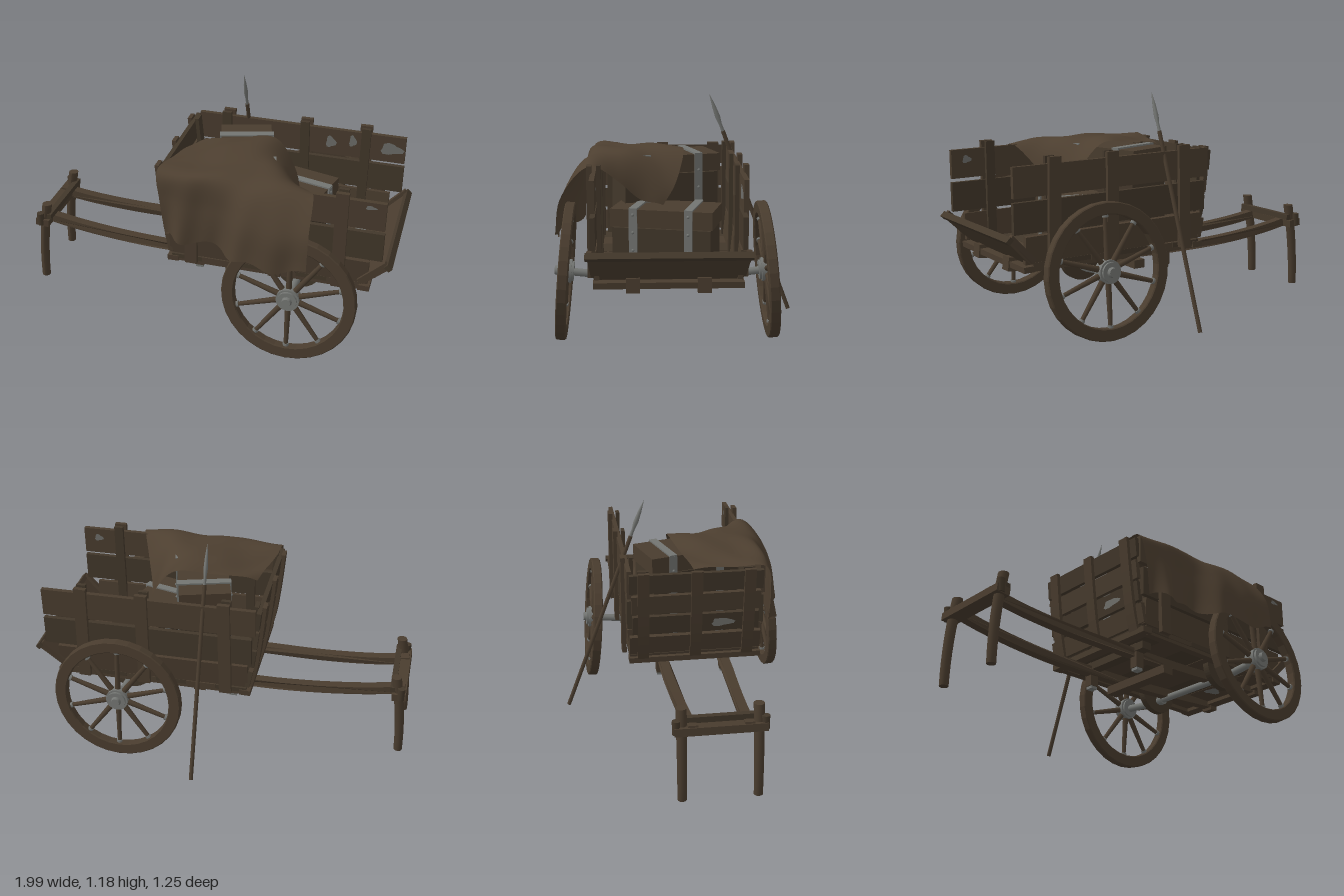
import * as THREE from 'three';

export function createModel() {
  const mat = (name, color) => Object.assign(new THREE.MeshStandardMaterial({ color }), { name });
  const wood = mat('wood', 0x493c2e), oldWood = mat('agedWood', 0x42372a), cloth = mat('cloth', 0x4d3f30);
  const metal = mat('metal', 0x737572), worn = mat('wornWood', 0x6d6d69);
  cloth.side = worn.side = THREE.DoubleSide;

  const root = new THREE.Group();
  const cart = new THREE.Group();
  cart.name = 'cart';
  cart.position.z = 0.065;
  root.add(cart);

  let seed = 7;
  const jitter = (a) => { seed = (seed * 16807) % 2147483647; return (seed / 2147483647 - 0.5) * a; };
  const add = (parent, name, geo, m, pos = [0, 0, 0], rot = [0, 0, 0]) => {
    const mesh = new THREE.Mesh(geo, m);
    mesh.name = name;
    mesh.position.set(...pos);
    mesh.rotation.set(...rot);
    parent.add(mesh);
    return mesh;
  };
  const box = (parent, name, m, size, pos, rot) => add(parent, name, new THREE.BoxGeometry(...size), m, pos, rot);
  // Round bar between two points
  const bar = (parent, name, m, a, b, r1, r2 = r1, sides = 12) => {
    const p = new THREE.Vector3(...a), q = new THREE.Vector3(...b), d = q.clone().sub(p);
    const mesh = add(parent, name, new THREE.CylinderGeometry(r2, r1, d.length(), sides), m);
    mesh.position.copy(p).add(q).multiplyScalar(0.5);
    mesh.quaternion.setFromUnitVectors(new THREE.Vector3(0, 1, 0), d.normalize());
    return mesh;
  };
  // Curved timber drawn in the xy plane, centred on z = 0
  const timber = (pts, t, depth, n = 10) => {
    const c = new THREE.SplineCurve(pts.map((p) => new THREE.Vector2(...p)));
    const a = [], b = [];
    for (let i = 0; i <= n; i++) {
      const p = c.getPoint(i / n), d = c.getTangent(i / n);
      a.push(new THREE.Vector2(p.x - d.y * t / 2, p.y + d.x * t / 2));
      b.unshift(new THREE.Vector2(p.x + d.y * t / 2, p.y - d.x * t / 2));
    }
    return new THREE.ExtrudeGeometry(new THREE.Shape([...a, ...b]), { depth, bevelEnabled: false }).translate(0, 0, -depth / 2);
  };

  // Floor boards and the sills below them
  for (let i = 0; i < 6; i++)
    box(cart, 'floorBoard', i % 2 ? wood : oldWood, [i === 4 ? 0.159 : 0.165, 0.025, 0.7], [-0.07 + i * 0.165, 0.392 + jitter(0.006), 0], [0, jitter(0.01), 0]);
  for (const x of [-0.145, 0.86]) box(cart, 'floorSill', wood, [0.06, 0.03, 0.71], [x, 0.375, 0], [0, 0, jitter(0.1)]);
  for (const s of [-1, 1]) box(cart, 'sideSill', wood, [0.98, 0.03, 0.04], [0.36, 0.375, s * 0.325]);

  // Side walls: three planks held between inner and outer posts
  for (const s of [-1, 1]) {
    [[0.475, 0.14, -0.16, 0.88, 0.343], [0.637, 0.155, -0.18, 0.945, 0.352], [0.812, 0.152, -0.2, 0.945, 0.353]].forEach(([y, h, x0, x1, z], i) =>
      box(cart, 'sidePlank', i === 1 ? oldWood : wood, [x1 - x0, h, 0.024], [(x0 + x1) / 2, y, s * z], [i ? 0 : s * 0.1, 0, -0.01 + jitter(0.01)]));
    for (const x of [-0.04, 0.4, 0.73]) {
      const top = s > 0 && x < 0.6 ? 0.87 : 0.92;
      box(cart, 'outerPost', wood, [0.065, top - 0.38, 0.024], [x, (top + 0.38) / 2, s * 0.372], [0, 0, jitter(0.04)]);
      box(cart, 'innerPost', oldWood, [0.05, top - 0.41, 0.02], [x, (top + 0.41) / 2, s * 0.328], [0, 0, jitter(0.03)]);
    }
  }

  // Bowed end wall with curved staves
  const endX = (y) => -0.14 - 0.075 * Math.pow((y - 0.38) / 0.5, 0.6);
  for (let i = 0; i < 4; i++) {
    const y = 0.465 + i * 0.12, lean = Math.atan((endX(y - 0.05) - endX(y + 0.05)) / 0.1);
    box(cart, 'endPlank', i % 2 ? oldWood : wood, [0.024, 0.104, 0.69 + jitter(0.04)], [endX(y), y, 0], [jitter(0.02), 0, lean]);
  }
  const stave = timber([0.385, 0.5, 0.65, 0.78, 0.89].map((y) => [endX(y) - 0.02, y]), 0.022, 0.06);
  for (const z of [-0.28, 0, 0.28]) {
    add(cart, 'endStave', stave, wood, [0, 0, z]);
    if (z) add(cart, 'innerEndStave', stave, oldWood, [0.041, 0, z]);
  }

  // Lowered tailboard with edge battens
  const tail = new THREE.Group();
  tail.name = 'tailboard';
  tail.position.set(0.915, 0.472, 0);
  tail.rotation.z = 0.79;
  cart.add(tail);
  const tg = new THREE.BoxGeometry(0.19, 0.022, 0.73);
  const tp = tg.attributes.position;
  for (let i = 0; i < tp.count; i++) tp.setZ(i, tp.getZ(i) * (tp.getX(i) > 0 ? 1.04 : 0.96));
  add(tail, 'tailPanel', tg, wood);
  box(tail, 'tailRim', oldWood, [0.025, 0.034, 0.775], [0.09, 0, 0]);
  for (const s of [-1, 1]) box(tail, 'tailBatten', wood, [0.19, 0.03, 0.025], [0, 0.016, s * 0.36], [0, -s * 0.08, 0]);

  // Bent round leg, thinner at the foot
  const legGeo = new THREE.CylinderGeometry(0.027, 0.023, 0.475, 12, 8);
  const lp = legGeo.attributes.position;
  for (let i = 0; i < lp.count; i++) lp.setX(i, lp.getX(i) + 0.045 * Math.pow(lp.getY(i) / 0.475 + 0.5, 2));
  legGeo.computeVertexNormals();

  // Pulling shafts running beneath the floor, with pegs and cross beams
  for (const s of [-1, 1]) {
    const g = timber([[-0.98, 0.385], [-0.75, 0.35], [-0.45, 0.328], [-0.1, 0.326], [0.35, 0.338], [0.88, 0.375]], 0.045, 0.048, 20);
    const p = g.attributes.position;
    for (let i = 0; i < p.count; i++) p.setZ(i, p.getZ(i) + s * (0.165 + 0.04 * Math.min(0, p.getX(i) + 0.25)));
    g.computeVertexNormals();
    add(cart, 'shaft', g, wood);
    box(cart, 'shaftTail', wood, [0.05, 0.07, 0.065], [0.872, 0.373, s * 0.168], [0, 0, 0.1]);
    box(cart, 'shaftPeg', wood, [0.05, 0.13, 0.045], [-0.05, 0.31, s * 0.175]);
    box(cart, 'pegCap', metal, [0.04, 0.015, 0.04], [-0.05, 0.238, s * 0.175]);
    // Prop legs and pins at the handle end
    add(cart, 'propLeg', legGeo, wood, [-0.972, 0.243, s * 0.187]);
    bar(cart, 'handlePin', oldWood, [-0.96, 0.36, s * 0.215], [-0.96, 0.43, s * 0.215], 0.02);
    // Axle blocks: half discs hung from the floor
    const half = new THREE.Shape().absarc(0, 0, 0.12, Math.PI, Math.PI * 2, false);
    add(cart, 'axleBlock', new THREE.ExtrudeGeometry(half, { depth: 0.036, bevelEnabled: false, curveSegments: 14 }), oldWood, [0.51, 0.378, s * 0.25 - 0.018]);
  }
  box(cart, 'handleBar', wood, [0.075, 0.04, 0.45], [-0.95, 0.375, 0], [0, 0, -0.1]);
  box(cart, 'handleTie', oldWood, [0.03, 0.03, 0.42], [-0.915, 0.41, 0]);
  box(cart, 'crossBeam', wood, [0.065, 0.045, 0.435], [0.135, 0.277, 0]);
  box(cart, 'frontBeam', oldWood, [0.06, 0.04, 0.5], [-0.05, 0.35, 0]);

  // Axle with upswept ends
  bar(cart, 'axle', metal, [0.51, 0.325, -0.31], [0.51, 0.325, 0.31], 0.019);
  for (const s of [-1, 1]) {
    bar(cart, 'axleEnd', metal, [0.51, 0.325, s * 0.3], [0.51, 0.354, s * 0.555], 0.02);
    bar(cart, 'axleCollar', metal, [0.51, 0.325, s * 0.19], [0.51, 0.325, s * 0.22], 0.028);
  }

  // Leaning spoked wheels
  const ring = new THREE.Shape().absarc(0, 0, 0.34, 0, Math.PI * 2, false);
  ring.holes.push(new THREE.Path().absarc(0, 0, 0.287, 0, Math.PI * 2, true));
  const rimGeo = new THREE.ExtrudeGeometry(ring, { depth: 0.04, bevelThickness: 0.005, bevelSize: 0.005, bevelSegments: 1, curveSegments: 16 }).translate(0, 0, -0.02);
  for (const s of [-1, 1]) {
    const wheel = new THREE.Group();
    wheel.name = s > 0 ? 'nearWheel' : 'farWheel';
    wheel.position.set(0.51, 0.35, s * 0.503);
    wheel.rotation.x = -s * 0.08;
    cart.add(wheel);
    add(wheel, 'rim', rimGeo, wood);
    for (let i = 0; i < 10; i++) {
      const a = (i + 0.5) * Math.PI / 5, c = Math.cos(a), n = Math.sin(a);
      bar(wheel, 'spoke', wood, [c * 0.04, n * 0.04, 0], [c * 0.29, n * 0.29, 0], 0.016, 0.011, 8);
      bar(wheel, 'spokeFerrule', metal, [c * 0.268, n * 0.268, 0], [c * 0.286, n * 0.286, 0], 0.016, 0.016, 8);
    }
    bar(wheel, 'hub', metal, [0, 0, -0.04], [0, 0, 0.04], 0.05, 0.05, 16);
    bar(wheel, 'hubBand', metal, [0, 0, -0.028], [0, 0, 0.028], 0.06, 0.06, 16);
    bar(wheel, 'hubCap', metal, [0, 0, s * 0.03], [0, 0, s * 0.057], 0.03, 0.022, 12);
  }

  // Strapped crates
  const crate = (x, z, h, turn) => {
    const g = new THREE.Group();
    g.name = 'crate';
    g.position.set(x, 0.405, z);
    g.rotation.y = turn;
    cart.add(g);
    box(g, 'crateBody', oldWood, [0.26, h - 0.095, 0.5], [0, (h - 0.095) / 2, 0]);
    box(g, 'crateLid', wood, [0.27, 0.09, 0.52], [0, h - 0.045, 0]);
    for (const k of [-0.14, 0.14]) {
      box(g, 'topStrap', metal, [0.288, 0.009, 0.042], [0, h + 0.004, k]);
      for (const s of [-1, 1]) {
        box(g, 'sideStrap', metal, [0.009, h, 0.042], [s * 0.14, h / 2, k]);
        for (let y = 0.05; y < h; y += 0.09) add(g, 'strapRivet', new THREE.SphereGeometry(0.008, 8, 5), metal, [s * 0.144, y, k]);
      }
    }
  };
  crate(0.16, 0.0, 0.49, 0.28);
  crate(0.42, -0.003, 0.255, -0.25);

  // Draped cloth: curves from the inner edge over the side wall to the hem
  const rows = [
    [[-0.14, 0.865, 0.06], [-0.175, 0.885, 0.2], [-0.205, 0.895, 0.33], [-0.215, 0.885, 0.44], [-0.195, 0.75, 0.462], [-0.17, 0.55, 0.46]],
    [[-0.06, 0.895, 0.03], [-0.05, 0.9, 0.15], [-0.05, 0.9, 0.3], [-0.05, 0.897, 0.45], [-0.055, 0.74, 0.485], [-0.07, 0.55, 0.525]],
    [[0.1, 0.915, 0], [0.1, 0.93, 0.14], [0.1, 0.92, 0.3], [0.1, 0.895, 0.45], [0.1, 0.73, 0.475], [0.09, 0.54, 0.48]],
    [[0.29, 0.915, -0.03], [0.26, 0.93, 0.15], [0.25, 0.92, 0.3], [0.25, 0.895, 0.455], [0.25, 0.74, 0.55], [0.23, 0.53, 0.585]],
    [[0.41, 0.78, 0.015], [0.38, 0.86, 0.15], [0.39, 0.915, 0.3], [0.41, 0.9, 0.46], [0.42, 0.73, 0.58], [0.42, 0.52, 0.605]],
    [[0.455, 0.668, 0.08], [0.48, 0.7, 0.18], [0.53, 0.8, 0.3], [0.59, 0.89, 0.45], [0.6, 0.73, 0.58], [0.6, 0.54, 0.605]],
  ].map((r) => new THREE.CatmullRomCurve3(r.map((p) => new THREE.Vector3(...p))));
  const drape = new THREE.PlaneGeometry(1, 1, 48, 32);
  const dp = drape.attributes.position;
  for (let j = 0; j <= 32; j++) {
    const v = j / 32, along = new THREE.CatmullRomCurve3(rows.map((r) => r.getPoint(v)));
    for (let i = 0; i <= 48; i++) {
      const u = i / 48, p = along.getPoint(u), hang = Math.max(0, v - 0.6) / 0.4;
      p.z += 0.008 * hang * Math.sin(u * 30 + v * 3);
      p.y += 0.014 * hang * Math.sin(u * 21) + 0.005 * (1 - hang) * Math.sin(u * 13 + v * 16);
      dp.setXYZ(j * 49 + i, p.x, p.y, p.z);
    }
  }
  drape.computeVertexNormals();
  add(root, 'drapedCloth', drape, cloth);

  // Spear leaning on the far side
  const spear = new THREE.Group();
  spear.name = 'spear';
  spear.position.set(0.075, 0.008, -0.615);
  spear.rotation.x = 0.357;
  root.add(spear);
  bar(spear, 'spearShaft', wood, [0, 0, 0], [0, 1.05, 0], 0.011, 0.011, 8);
  const blade = [[0.013, 1.03], [0.011, 1.09], [0.018, 1.13], [0.013, 1.19], [0.001, 1.26]].map((p) => new THREE.Vector2(...p));
  add(spear, 'spearHead', new THREE.LatheGeometry(blade, 8), metal).scale.set(0.65, 1, 0.75);

  // Worn patches on floor and planks
  const patch = (pos, rot, w, h) => {
    const g = new THREE.CircleGeometry(1, 14), p = g.attributes.position;
    for (let i = 1; i < p.count; i++) {
      const k = 1 + 0.22 * Math.sin(2.1 + 3 * Math.atan2(p.getY(i), p.getX(i)));
      p.setXY(i, p.getX(i) * k * w, p.getY(i) * k * h);
    }
    add(cart, 'wornPatch', g, worn, pos, rot);
  };
  patch([0.755, 0.411, -0.155], [-Math.PI / 2, 0, 0.35], 0.028, 0.058);
  patch([0.755, 0.411, 0.215], [-Math.PI / 2, 0, 0], 0.038, 0.025);
  for (const [x, y, w] of [[0.87, 0.81, 0.06], [0.66, 0.83, 0.02], [0.54, 0.81, 0.028]])
    patch([x, y, -0.339], [0, 0, 0], w, 0.033);
  patch([0.87, 0.855, 0.367], [0, 0, 0], 0.028, 0.011);
  patch([0.86, 0.83, 0.339], [0, Math.PI, 0], 0.025, 0.02);
  patch([0.72, 0.374, 0], [Math.PI / 2, 0, 0], 0.045, 0.04);
  patch([endX(0.585) - 0.0145, 0.585, 0.14], [0, -Math.PI / 2, 0], 0.06, 0.025);
  for (const s of [-1, 1]) box(cart, 'cornerIron', metal, [0.008, 0.05, 0.05], [endX(0.7) + 0.016, 0.7, s * 0.24]);
  return root;
}
